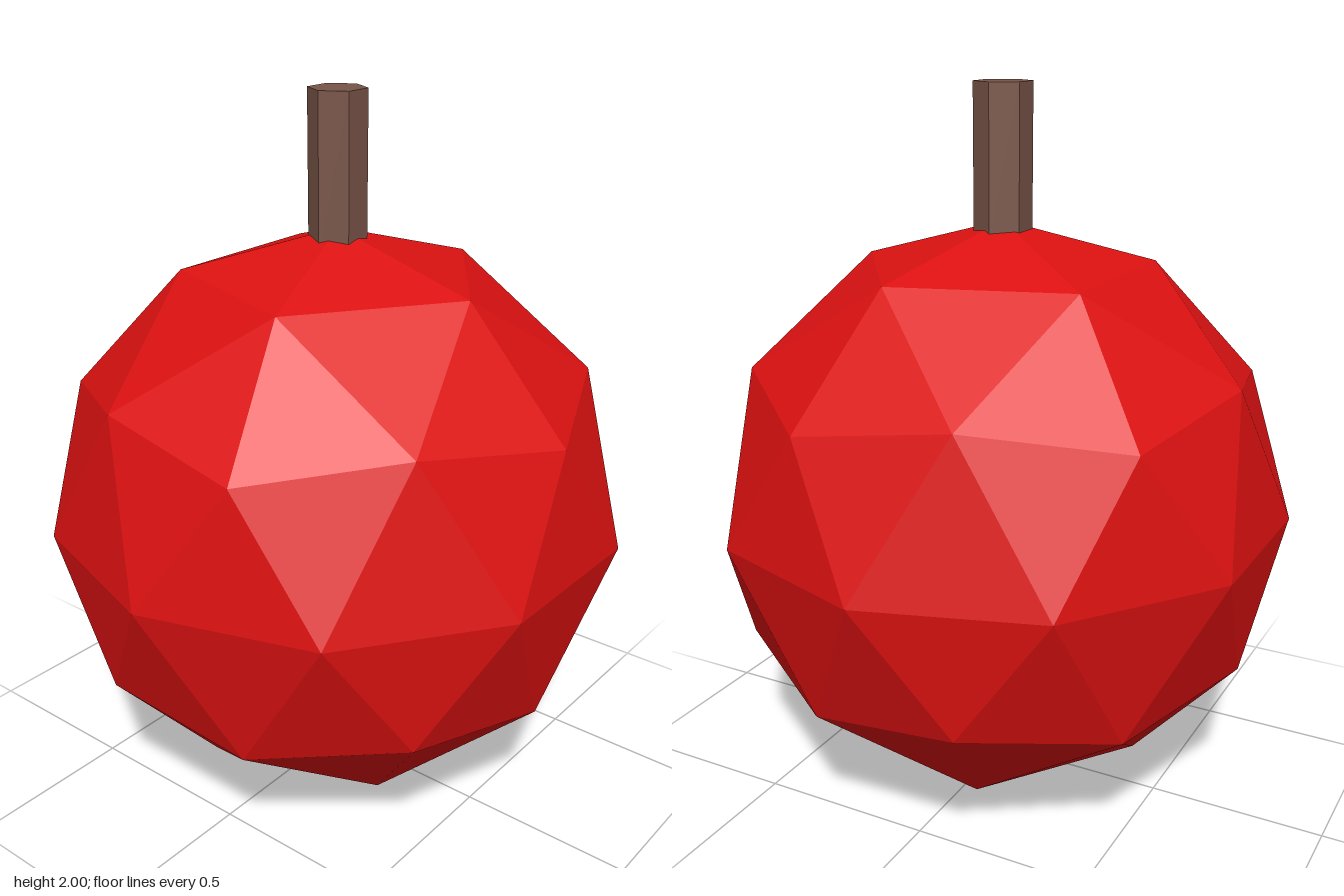
import * as THREE from 'three';

const R = 0.817; // fruit radius

// Icosahedron with its poles on the y axis, each face split once and pushed out to a sphere.
function poleIcosphere(radius) {
  const verts = [0, 1, 0];
  const h = 1 / Math.sqrt(5), r = 2 * h;
  for (const [y, start] of [[h, 0], [-h, Math.PI / 5]]) {
    for (let i = 0; i < 5; i++) {
      const a = start + (i * Math.PI * 2) / 5;
      verts.push(r * Math.cos(a), y, r * Math.sin(a));
    }
  }
  verts.push(0, -1, 0);

  const faces = [];
  for (let i = 0; i < 5; i++) {
    const j = (i + 1) % 5;
    const u0 = 1 + i, u1 = 1 + j, l0 = 6 + i, l1 = 6 + j;
    faces.push(0, u1, u0, u0, u1, l0, u1, l1, l0, 11, l0, l1);
  }
  return new THREE.PolyhedronGeometry(verts, faces, radius, 1);
}

export function createModel() {
  const model = new THREE.Group();
  model.name = 'fruitWithStem';

  // Faceted round body
  const body = new THREE.Mesh(
    poleIcosphere(R),
    new THREE.MeshStandardMaterial({ color: 0xdd1111, flatShading: true })
  );
  body.name = 'fruit';
  body.position.y = R;
  model.add(body);

  // Six-sided stem, sunk slightly into the body
  const bottom = 1.58, top = 2;
  const stem = new THREE.Mesh(
    new THREE.CylinderGeometry(0.08, 0.08, top - bottom, 6),
    new THREE.MeshStandardMaterial({ color: 0x795548, flatShading: true })
  );
  stem.name = 'stem';
  stem.position.y = (top + bottom) / 2;
  model.add(stem);

  return model;
}
